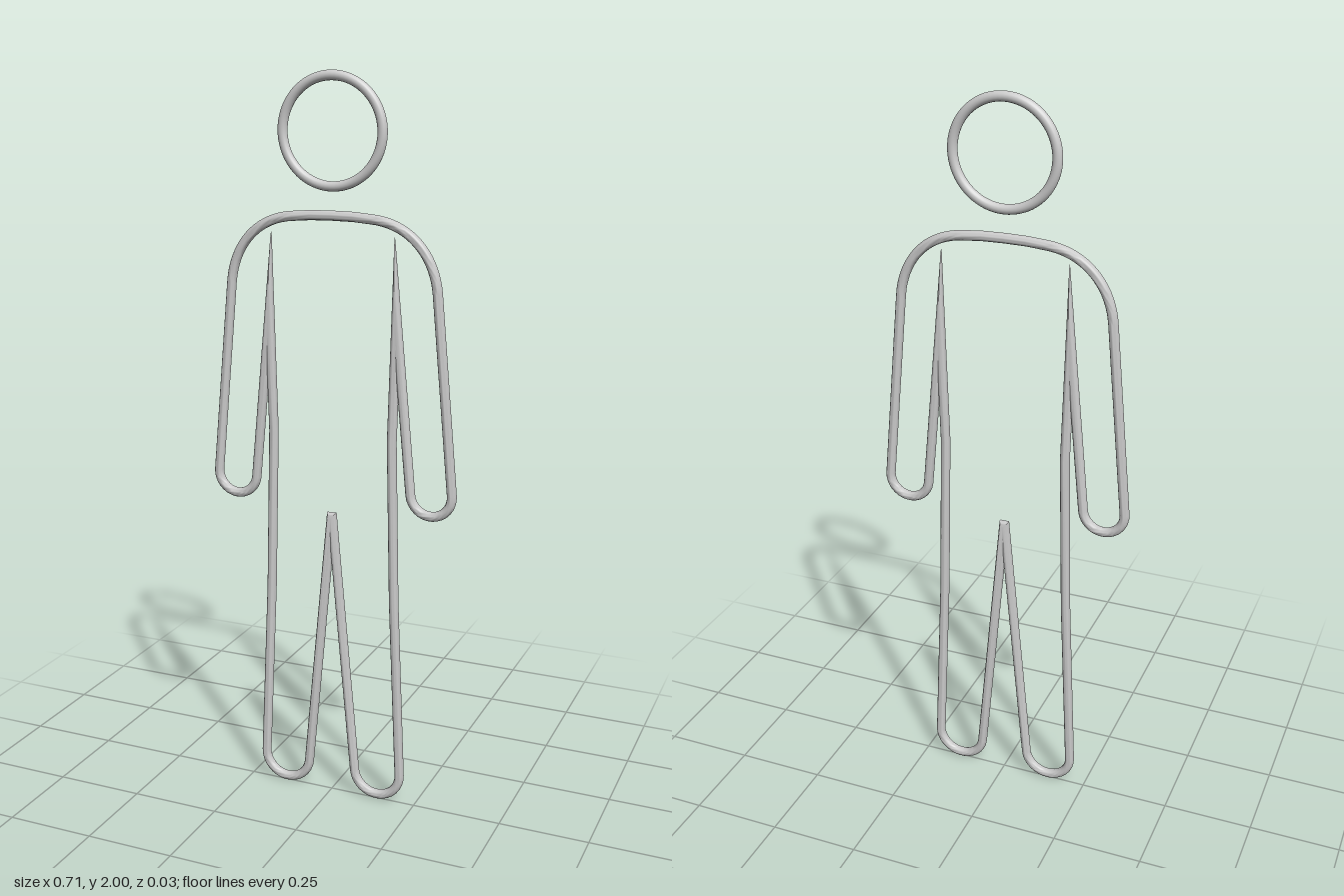
import * as THREE from 'three';
import { toCreasedNormals } from 'three/addons/utils/BufferGeometryUtils.js';

const R = 0.013; // wire radius
const SIDES = 20;
const v = (x, y) => new THREE.Vector2(x, y);

// Points along the round end of a hand or foot, running clockwise
function roundEnd(x, y, r, start, end) {
  return new THREE.EllipseCurve(x, y, r, r, start, -Math.PI + end, true).getPoints(16);
}

// Round wire along a closed flat path, with mitred corners
function wireGeometry(path) {
  const n = path.length, pos = [], index = [];
  const normal = (a, b) => {
    const d = b.clone().sub(a).normalize();
    return v(-d.y, d.x);
  };
  path.forEach((p, i) => {
    const n1 = normal(path[(i + n - 1) % n], p);
    const n2 = normal(p, path[(i + 1) % n]);
    const m = n1.clone().add(n2).multiplyScalar(R / (1 + n1.dot(n2)));
    for (let j = 0; j < SIDES; j++) {
      const a = (j / SIDES) * Math.PI * 2, c = Math.cos(a);
      pos.push(p.x + m.x * c, p.y + m.y * c, R * Math.sin(a));
      const k = (j + 1) % SIDES, s = i * SIDES, t = ((i + 1) % n) * SIDES;
      index.push(s + j, s + k, t + j, s + k, t + k, t + j);
    }
  });
  const g = new THREE.BufferGeometry();
  g.setAttribute('position', new THREE.Float32BufferAttribute(pos, 3));
  g.setIndex(index);
  return toCreasedNormals(g, 0.7);
}

export function createModel() {
  const group = new THREE.Group();
  group.name = 'wireFigure';
  const material = new THREE.MeshStandardMaterial({ color: 0xcccccc });

  // Head ring
  const head = new THREE.Mesh(new THREE.TorusGeometry(0.138, R, SIDES, 72), material);
  head.name = 'headRing';
  head.position.y = 1.849;
  group.add(head);

  // Left half of the body outline, from neck to crotch
  const shoulder = new THREE.CubicBezierCurve(
    v(0.11, 1.632), v(0.215, 1.625), v(0.282, 1.55), v(0.292, 1.45)
  ).getPoints(18);
  const half = [
    v(0, 1.637),
    v(0.06, 1.636),
    ...shoulder,
    ...roundEnd(0.284, 0.917, 0.058, 0.09, 0.1), // hand
    v(0.181, 1.38), // armpit
    v(0.172, 1.05), // waist
    v(0.183, 0.6), // thigh
    ...roundEnd(0.138, 0.081, 0.068, 0.04, 0.094), // foot
    v(0.0012, 0.822), // crotch
  ];
  const mirrored = half.slice(1).reverse().map((p) => v(-p.x, p.y));
  const body = new THREE.Mesh(wireGeometry([...half, ...mirrored]), material);
  body.name = 'bodyOutline';
  group.add(body);

  return group;
}
